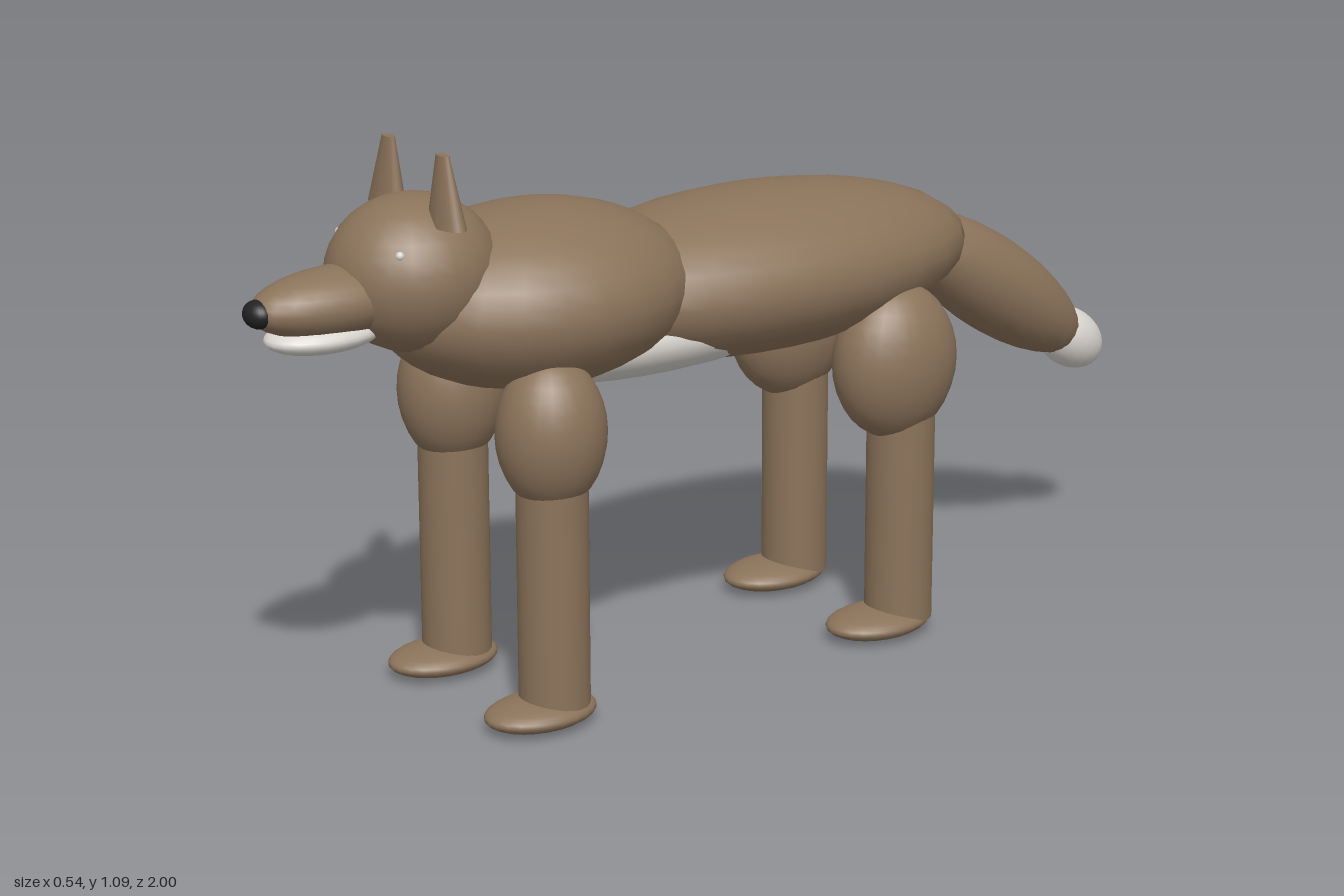
import * as THREE from 'three';

export function createModel() {
  const group = new THREE.Group();
  group.name = 'wildDog';

  const material = (name, color) => {
    const m = new THREE.MeshStandardMaterial({ color });
    m.name = name;
    return m;
  };
  const fur = material('brownFur', 0x8b735a);
  const pale = material('paleFur', 0xd8d4ce);
  const dark = material('darkNose', 0x222222);

  const add = (name, geometry, mat, x, y, z) => {
    const mesh = new THREE.Mesh(geometry, mat);
    mesh.name = name;
    mesh.position.set(x, y, z);
    group.add(mesh);
    return mesh;
  };
  const ball = (name, mat, [x, y, z], [rx, ry, rz], tilt = 0) => {
    const mesh = add(name, new THREE.SphereGeometry(1, 24, 16), mat, x, y, z);
    mesh.scale.set(rx, ry, rz);
    mesh.rotation.x = tilt;
    return mesh;
  };

  // Trunk
  ball('body', fur, [0, 0.747, -0.1], [0.24, 0.157, 0.5]);
  ball('chest', fur, [0, 0.78, 0.4], [0.25, 0.17, 0.32]);
  ball('belly', pale, [0, 0.68, 0.16], [0.18, 0.088, 0.44]);

  // Head
  ball('head', fur, [0, 0.86, 0.657], [0.155, 0.145, 0.162]);
  ball('muzzle', fur, [0, 0.833, 0.81], [0.084, 0.063, 0.18]);
  ball('lowerJaw', pale, [0, 0.775, 0.845], [0.074, 0.031, 0.115]);
  ball('nose', dark, [0, 0.833, 0.973], [0.034, 0.026, 0.027]);

  // Tail slopes down and back, with a pale tip
  const slope = -0.61;
  ball('tail', fur, [0, 0.615, -0.7], [0.1, 0.095, 0.28], slope);
  ball('tailTip', pale, [0, 0.46, -0.922], [0.06, 0.06, 0.085], slope);

  for (const [side, s] of [['left', 1], ['right', -1]]) {
    ball(side + 'Eye', pale, [s * 0.105, 0.925, 0.745], [0.008, 0.008, 0.008]);

    // Flattened, blunt ears
    const ear = add(side + 'Ear', new THREE.CylinderGeometry(0.018, 0.053, 0.128, 20),
      fur, s * 0.097, 1.027, 0.645);
    ear.scale.z = 0.48;
    // Lean the top inward while keeping the base level
    const p = ear.geometry.attributes.position;
    for (let i = 0; i < p.count; i++) p.setX(i, p.getX(i) - s * 0.08 * p.getY(i));
    ear.geometry.computeVertexNormals();

    // Upper leg, straight shin and flat paw
    const legs = [
      { name: 'Front', thigh: [0.565, 0.475, 0.145, 0.105], shin: 0.475, paw: 0.507 },
      { name: 'Rear', thigh: [0.56, -0.322, 0.155, 0.133], shin: -0.34, paw: -0.289 },
    ];
    for (const { name, thigh: [y, z, ry, rz], shin, paw } of legs) {
      ball(side + name + 'Thigh', fur, [s * 0.17, y, z], [0.099, ry, rz]);
      add(side + name + 'Shin', new THREE.CylinderGeometry(0.067, 0.067, 0.49, 24),
        fur, s * 0.17, 0.275, shin);
      ball(side + name + 'Paw', fur, [s * 0.17, 0.029, paw], [0.08, 0.029, 0.114]);
    }
  }
  return group;
}
